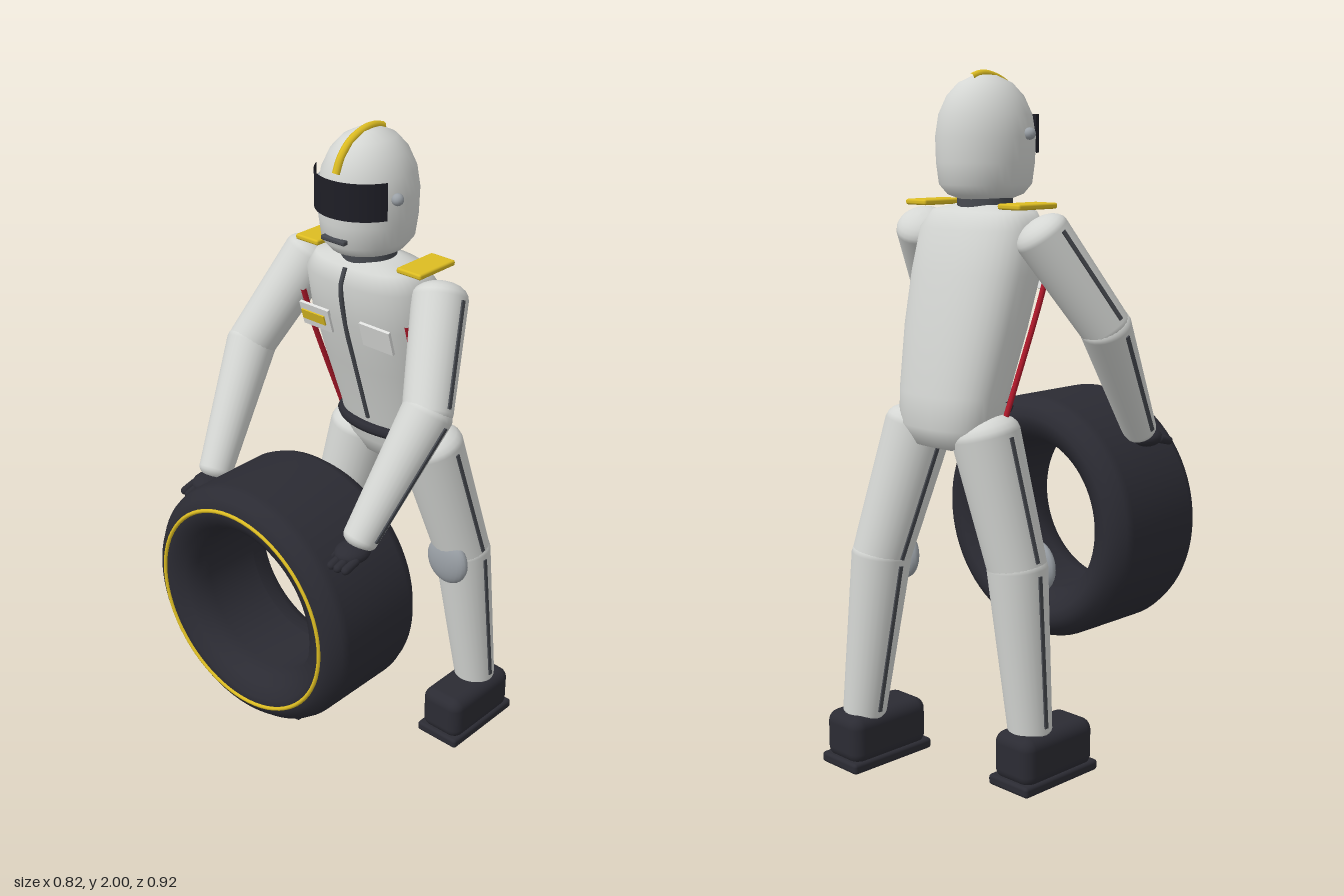
import * as THREE from 'three';
import { RoundedBoxGeometry } from 'three/addons/geometries/RoundedBoxGeometry.js';

const mat = (name, color, side = THREE.FrontSide) => {
  const m = new THREE.MeshStandardMaterial({ color, side });
  m.name = name;
  return m;
};
const M = {
  suit: mat('suit white', 0xd4d6d3),
  patch: mat('patch white', 0xdfe0de),
  rubber: mat('black rubber', 0x2b2b33),
  visor: mat('visor black', 0x1e1e26, THREE.DoubleSide),
  trim: mat('dark grey trim', 0x45484e),
  pad: mat('pad grey', 0x9ba1a7),
  yellow: mat('yellow', 0xdcbc22),
  red: mat('red', 0xb0182a),
};
const V = (x, y, z) => new THREE.Vector3(x, y, z);

function add(parent, name, geo, material, x = 0, y = 0, z = 0) {
  const mesh = new THREE.Mesh(geo, material);
  mesh.name = name;
  mesh.position.set(x, y, z);
  parent.add(mesh);
  return mesh;
}

const tube = (points, r, segs = 24) =>
  new THREE.TubeGeometry(new THREE.CatmullRomCurve3(points), segs, r, 8);

// Skin over oval rings [y, centreZ, halfWidth, halfDepth], listed top to bottom
function loft(rings, power, n = 40) {
  const pos = [], idx = [];
  const bend = (v) => Math.sign(v) * Math.abs(v) ** (2 / power);
  for (const [y, cz, w, d] of rings)
    for (let j = 0; j < n; j++) {
      const t = (j / n) * Math.PI * 2;
      pos.push(w * bend(Math.cos(t)), y, cz + d * bend(Math.sin(t)));
    }
  for (let i = 0; i < rings.length - 1; i++)
    for (let j = 0; j < n; j++) {
      const a = i * n + j, b = i * n + ((j + 1) % n);
      idx.push(a, b, a + n, b, b + n, a + n);
    }
  const g = new THREE.BufferGeometry();
  g.setAttribute('position', new THREE.Float32BufferAttribute(pos, 3));
  g.setIndex(idx);
  g.computeVertexNormals();
  return g;
}

// Tapered, round-ended limb from a (upper end) to b, with seam strips on the chosen sides
function limb(parent, name, a, b, ra, rb, stripSides = []) {
  const dir = a.clone().sub(b), len = dir.length(), pts = [];
  for (let i = 0; i <= 6; i++) {
    const t = (i / 6) * Math.PI / 2;
    pts.push(new THREE.Vector2(rb * Math.sin(t), -rb * 0.6 * Math.cos(t)));
  }
  for (let i = 0; i <= 6; i++) {
    const t = (i / 6) * Math.PI / 2;
    pts.push(new THREE.Vector2(ra * Math.cos(t), len + ra * 0.6 * Math.sin(t)));
  }
  const group = new THREE.Group();
  group.name = name;
  group.position.copy(b);
  group.quaternion.setFromUnitVectors(V(0, 1, 0), dir.normalize());
  add(group, name + 'Sleeve', new THREE.LatheGeometry(pts, 28), M.suit);
  for (const s of stripSides) {
    const strip = add(group, name + 'Strip', new THREE.BoxGeometry(0.008, len * 0.94, 0.012),
      M.trim, s * (ra + rb) / 2, len / 2, 0);
    strip.rotation.z = -s * Math.atan((ra - rb) / len);
  }
  parent.add(group);
}

function addTorso(body) {
  const rings = [
    [1.64, -0.105, 0.001, 0.001], [1.635, -0.105, 0.09, 0.065], [1.618, -0.11, 0.17, 0.1],
    [1.57, -0.117, 0.203, 0.125], [1.45, -0.145, 0.203, 0.135], [1.3, -0.185, 0.193, 0.13],
    [1.12, -0.23, 0.17, 0.12], [1.03, -0.243, 0.163, 0.112], [0.975, -0.245, 0.12, 0.085],
    [0.95, -0.245, 0.001, 0.001]];
  add(body, 'torso', loft(rings, 2.4), M.suit);
  add(body, 'zipper', tube(rings.slice(2, 7).map(([y, cz, , d]) => V(0, y, cz + d)), 0.007), M.trim);
  add(body, 'collar', new THREE.CylinderGeometry(0.076, 0.08, 0.05, 32), M.trim, 0, 1.645, -0.107);

  // Belt across the front only
  const belt = [];
  for (let i = 0; i <= 14; i++) {
    const t = Math.PI * (0.1 + 0.8 * i / 14);
    belt.push(V(0.17 * Math.cos(t), 1.085, -0.237 + 0.125 * Math.sin(t) ** 0.83));
  }
  add(body, 'belt', tube(belt, 0.017, 32), M.rubber);

  for (const s of [-1, 1]) {
    add(body, 'epaulette', new RoundedBoxGeometry(0.085, 0.016, 0.15, 2, 0.006), M.yellow,
      s * 0.186, 1.636, -0.127);
    add(body, 'chestPocket', new THREE.BoxGeometry(0.108, 0.075, 0.009), M.patch,
      s * 0.112, 1.438, -0.014).rotation.x = 0.28;
    add(body, 'harnessStrap', tube([V(s * 0.193, 1.49, -0.045), V(s * 0.19, 1.38, -0.08),
      V(s * 0.17, 1.05, -0.2)], 0.008), M.red);
  }
  add(body, 'pocketBadge', new THREE.BoxGeometry(0.085, 0.03, 0.008), M.yellow,
    -0.118, 1.437, -0.009).rotation.x = 0.28;
}

function addHelmet(body) {
  const z = -0.104;
  add(body, 'helmet', loft([
    [1.988, z, 0.001, 0.001], [1.985, z, 0.03, 0.035], [1.965, z, 0.07, 0.08],
    [1.93, z, 0.101, 0.113], [1.88, z, 0.124, 0.136], [1.82, z, 0.134, 0.145],
    [1.75, z, 0.131, 0.144], [1.69, z, 0.122, 0.137], [1.662, z, 0.1, 0.112],
    [1.65, z, 0.07, 0.08], [1.65, z, 0.001, 0.001]], 2), M.suit);
  add(body, 'visor', new THREE.CylinderGeometry(0.143, 0.143, 0.105, 32, 1, true, -1.1, 2.2),
    M.visor, 0, 1.828, z).scale.z = 1.08;
  add(body, 'helmetCrest', tube([V(0, 1.89, 0.027), V(0, 1.93, 0.008), V(0, 1.965, -0.028),
    V(0, 1.985, -0.08), V(0, 1.988, -0.12), V(0, 1.978, -0.158)], 0.012), M.yellow);
  add(body, 'chinVent', new RoundedBoxGeometry(0.085, 0.014, 0.02, 2, 0.005), M.trim, 0, 1.71, 0.035);
  for (const s of [-1, 1])
    add(body, 'visorPivot', new THREE.SphereGeometry(0.017, 14, 10), M.pad, s * 0.134, 1.828, -0.066);
}

function addArm(body, s) {
  const shoulder = V(s * 0.24, 1.56, -0.125), elbow = V(s * 0.333, 1.305, 0.03);
  const wrist = V(s * 0.282, 0.985, 0.24);
  limb(body, 'upperArm', shoulder, elbow, 0.078, 0.07, [s]);
  limb(body, 'forearm', elbow, wrist, 0.073, 0.05, [s]);

  // Glove resting on the tyre, fingers forward
  const glove = new THREE.Group();
  glove.name = 'glove';
  glove.position.set(s * 0.28, 0.955, 0.27);
  add(glove, 'palm', new THREE.SphereGeometry(0.05, 20, 14), M.rubber).scale.set(0.95, 0.55, 1.1);
  for (let i = 0; i < 4; i++) {
    const f = add(glove, 'finger', new THREE.CapsuleGeometry(0.0125, 0.04, 4, 10), M.rubber,
      (i - 1.5) * 0.023, -0.01, 0.055 - Math.abs(i - 1.5) * 0.006);
    f.rotation.x = Math.PI / 2 + 0.25;
  }
  const thumb = add(glove, 'thumb', new THREE.CapsuleGeometry(0.013, 0.03, 4, 10), M.rubber, -s * 0.045, -0.002, 0.015);
  thumb.rotation.set(Math.PI / 2, 0, s * 0.5);
  body.add(glove);
}

function addLeg(body, s, hipZ, knee, ankle) {
  limb(body, 'thigh', V(s * 0.122, 1.01, hipZ), knee, 0.098, 0.085, [-1, 1]);
  limb(body, 'shin', knee, ankle, 0.087, 0.064, [-1, 1]);
  add(body, 'kneePad', new THREE.SphereGeometry(0.075, 24, 16), M.pad,
    knee.x, knee.y - 0.01, knee.z + 0.072).scale.set(1, 1.05, 0.4);
  const bootZ = ankle.z + 0.05;
  add(body, 'boot', new RoundedBoxGeometry(0.148, 0.145, 0.28, 4, 0.035), M.rubber, s * 0.232, 0.09, bootZ);
  add(body, 'bootSole', new RoundedBoxGeometry(0.155, 0.032, 0.298, 2, 0.01), M.rubber, s * 0.232, 0.016, bootZ);
}

function addTyre(body) {
  const tyre = new THREE.Group();
  tyre.name = 'tyre';
  tyre.position.set(-0.013, 0.7, 0.235);
  const half = [[0.367, 0.125], [0.36, 0.148], [0.338, 0.174], [0.312, 0.188], [0.285, 0.184],
    [0.25, 0.163], [0.23, 0.13], [0.225, 0.09]];
  const pts = [...half.map(([r, y]) => [r, -y]).reverse(), ...half, [0.225, -0.09]]
    .map(([r, y]) => new THREE.Vector2(r, y));
  add(tyre, 'tyreCarcass', new THREE.LatheGeometry(pts, 72), M.rubber).rotation.x = Math.PI / 2;
  add(tyre, 'sidewallRing', new THREE.TorusGeometry(0.308, 0.006, 8, 72), M.yellow, 0, 0, 0.187);
  body.add(tyre);
}

export function createModel() {
  const root = new THREE.Group();
  root.name = 'crewMemberWithTyre';
  // The whole figure is turned slightly to its right
  const body = new THREE.Group();
  body.name = 'figure';
  body.rotation.y = -0.12;
  root.add(body);

  addTorso(body);
  addHelmet(body);
  for (const s of [-1, 1]) addArm(body, s);
  addLeg(body, 1, -0.255, V(0.185, 0.635, -0.348), V(0.226, 0.16, -0.388));
  addLeg(body, -1, -0.225, V(-0.195, 0.635, -0.175), V(-0.226, 0.16, -0.155));
  addTyre(body);
  return root;
}
